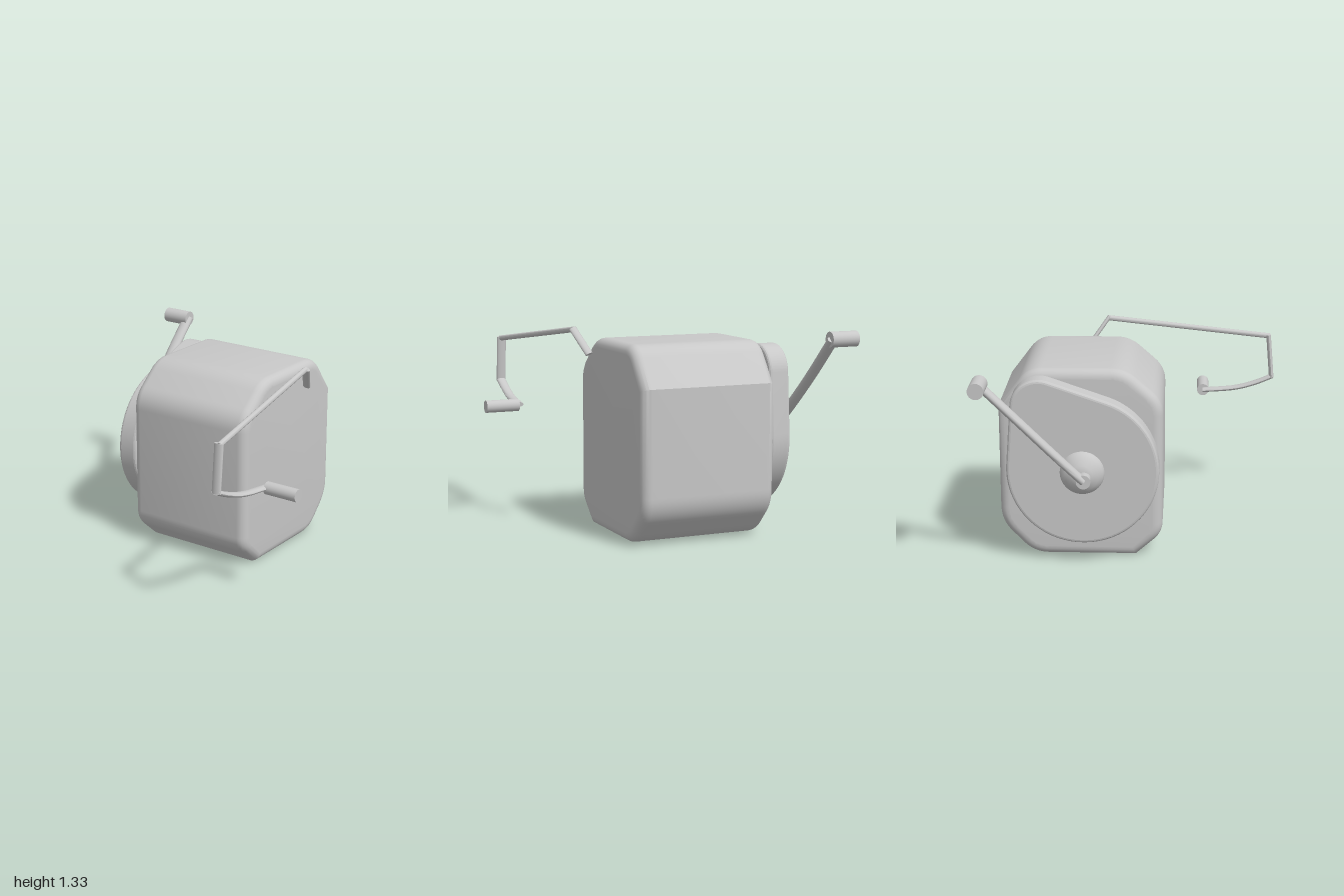
import * as THREE from 'three';
import { toCreasedNormals } from 'three/addons/utils/BufferGeometryUtils.js';

const metal = new THREE.MeshStandardMaterial({ color: 0xc8c8c8 });
metal.name = 'greyMetal';

function part(group, name, geometry) {
  const mesh = new THREE.Mesh(geometry, metal);
  mesh.name = name;
  group.add(mesh);
  return mesh;
}

// Outline with each corner [x, y, r] cut back by r and rounded
function roundedShape(corners) {
  const shape = new THREE.Shape();
  const n = corners.length;
  const toward = (a, b, r) => {
    const l = Math.hypot(b[0] - a[0], b[1] - a[1]);
    return [a[0] + (b[0] - a[0]) * r / l, a[1] + (b[1] - a[1]) * r / l];
  };
  corners.forEach((c, i) => {
    const p = toward(c, corners[(i + n - 1) % n], c[2]);
    const q = toward(c, corners[(i + 1) % n], c[2]);
    if (i === 0) shape.moveTo(...p);
    else shape.lineTo(...p);
    if (c[2] > 0) shape.quadraticCurveTo(c[0], c[1], ...q);
  });
  shape.closePath();
  return shape;
}

// Extrusion from z0 to z1 with rounded rims kept inside the outline
function slab(shape, z0, z1, bevel, segments, curveSegments, crease) {
  const g = new THREE.ExtrudeGeometry(shape, {
    depth: z1 - z0 - 2 * bevel, bevelEnabled: true, bevelSize: bevel, bevelThickness: bevel,
    bevelOffset: -bevel, bevelSegments: segments, curveSegments
  });
  g.translate(0, 0, z0 + bevel);
  return toCreasedNormals(g, crease);
}

// Oval bar along a path: half width w across, half depth d toward z
function bar(points, w, d) {
  const curve = new THREE.CatmullRomCurve3(points.map(p => new THREE.Vector3(...p)));
  const steps = points.length > 2 ? 14 : 1, sides = 16;
  const pos = [], idx = [];
  for (let i = 0; i <= steps; i++) {
    const c = curve.getPoint(i / steps), t = curve.getTangent(i / steps);
    const u = new THREE.Vector3(0, 0, 1).addScaledVector(t, -t.z).normalize();
    const v = t.clone().cross(u);
    for (let j = 0; j < sides; j++) {
      const a = j / sides * Math.PI * 2;
      const p = c.clone().addScaledVector(u, d * Math.cos(a)).addScaledVector(v, w * Math.sin(a));
      pos.push(p.x, p.y, p.z);
    }
  }
  for (let i = 0; i < steps; i++) for (let j = 0; j < sides; j++) {
    const a = i * sides + j, b = i * sides + (j + 1) % sides;
    idx.push(a, b, a + sides, b, b + sides, a + sides);
  }
  const last = steps * sides;
  for (let j = 1; j < sides - 1; j++) {
    idx.push(0, j + 1, j, last, last + j, last + j + 1);
  }
  const g = new THREE.BufferGeometry();
  g.setAttribute('position', new THREE.Float32BufferAttribute(pos, 3));
  g.setIndex(idx);
  return toCreasedNormals(g, 0.7);
}

// Cylinder lying along z
function pin(x, y, z0, z1, r) {
  const g = new THREE.CylinderGeometry(r, r, z1 - z0, 24);
  g.rotateX(Math.PI / 2);
  g.translate(x, y, (z0 + z1) / 2);
  return g;
}

export function createModel() {
  const model = new THREE.Group();
  model.name = 'crankBox';

  // Octagonal body, some corners soft and some sharp
  const outline = roundedShape([
    [-0.03, 0, 0], [0.63, 0, 0.1], [0.84, 0.22, 0.1], [0.84, 0.99, 0],
    [0.65, 1.24, 0.09], [0.04, 1.24, 0.09], [-0.2, 1.03, 0.09], [-0.2, 0.15, 0.07]
  ]);
  part(model, 'body', slab(outline, -0.47, 0.43, 0.06, 5, 8, 0.6));

  // Teardrop cover on the back: large and small arcs joined by tangents
  const big = [0.3, 0.62, 0.48], small = [0.57, 1.03, 0.18];
  const dx = small[0] - big[0], dy = small[1] - big[1];
  const axis = Math.atan2(dy, dx);
  const spread = Math.acos((big[2] - small[2]) / Math.hypot(dx, dy));
  const drop = new THREE.Shape();
  drop.absarc(...big, axis + spread, axis - spread + Math.PI * 2, false);
  drop.absarc(...small, axis - spread, axis + spread, false);
  drop.closePath();
  part(model, 'backCover', slab(drop, -0.61, -0.47, 0.02, 3, 24, 0.1));

  // Hub and axle
  const profile = [[0, 0], [0.09, 0], [0.125, 0.012], [0.14, 0.032], [0.132, 0.055],
    [0.105, 0.078], [0.07, 0.1], [0.045, 0.11], [0, 0.11]];
  const hub = new THREE.LatheGeometry(profile.map(p => new THREE.Vector2(...p)), 32);
  hub.rotateX(-Math.PI / 2);
  hub.translate(0.3, 0.625, -0.608);
  part(model, 'hub', toCreasedNormals(hub, 0.8));
  part(model, 'axle', pin(0.285, 0.61, -0.775, -0.69, 0.045));

  // Crank
  const crank = new THREE.Group();
  crank.name = 'crank';
  model.add(crank);
  part(crank, 'crankArm', bar([
    [0.29, 0.61, -0.75], [0.46, 0.79, -0.79], [0.66, 1.0, -0.82], [0.91, 1.25, -0.83]
  ], 0.026, 0.04));
  part(crank, 'crankHandle', pin(0.9, 1.25, -1, -0.81, 0.05));

  // Loose bent rod at the front
  const rod = new THREE.Group();
  rod.name = 'frontRod';
  model.add(rod);
  part(rod, 'rodHook', bar([[0.305, 1.16, 0.565], [0.19, 1.315, 0.63]], 0.014, 0.026));
  part(rod, 'rodLong', bar([[0.2, 1.31, 0.62], [-0.92, 1.16, 0.74]], 0.018, 0.018));
  part(rod, 'rodDrop', bar([[-0.91, 1.17, 0.735], [-0.937, 0.865, 0.735]], 0.016, 0.032));
  part(rod, 'rodCurve', bar([
    [-0.945, 0.875, 0.735], [-0.83, 0.825, 0.74], [-0.69, 0.783, 0.75], [-0.46, 0.757, 0.768]
  ], 0.016, 0.031));
  part(rod, 'rodHandle', pin(-0.46, 0.755, 0.775, 1, 0.041));

  return model;
}
